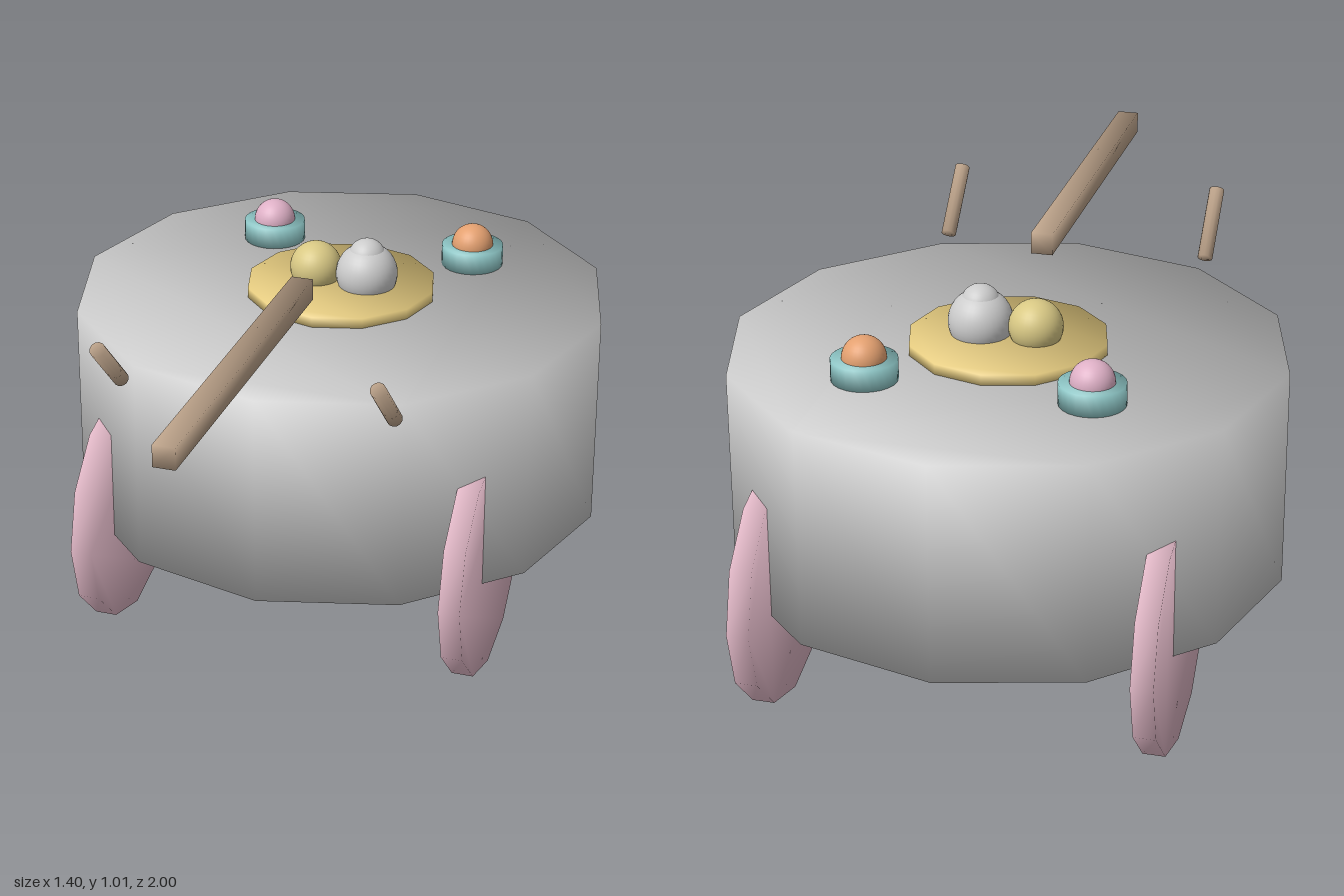
import * as THREE from 'three';

const PINK = 0xe6bccb, TEAL = 0x8cc4c4, WOOD = 0xbfa58c, YELLOW = 0xe6cc80, GREY = 0xcccccc;

// Regular prism along z, centred, with normals softly shared between caps and sides.
function prism(radius, length, sides, turn = 0) {
  const corners = Array.from({ length: sides }, (_, i) => {
    const a = turn + (i / sides) * Math.PI * 2;
    return new THREE.Vector2(Math.cos(a) * radius, Math.sin(a) * radius);
  });
  const geo = new THREE.ExtrudeGeometry(new THREE.Shape(corners), { depth: length, bevelEnabled: false });
  geo.translate(0, 0, -length / 2);
  const rise = (1 - 2 / sides) / Math.cos(Math.PI / sides);
  const p = geo.attributes.position, n = geo.attributes.normal, v = new THREE.Vector3();
  for (let i = 0; i < p.count; i++) {
    v.set(p.getX(i) / radius, p.getY(i) / radius, Math.sign(p.getZ(i)) * rise).normalize();
    n.setXYZ(i, v.x, v.y, v.z);
  }
  return geo;
}

// Upright prism
const disc = (radius, height, sides) => prism(radius, height, sides).rotateX(-Math.PI / 2);
const ball = (radius) => new THREE.SphereGeometry(radius, 32, 20);

export function createModel() {
  const model = new THREE.Group();
  const add = (name, geo, color, x, y, z) => {
    const mesh = new THREE.Mesh(geo, new THREE.MeshStandardMaterial({ color }));
    mesh.name = name;
    mesh.position.set(x, y, z);
    model.add(mesh);
    return mesh;
  };

  // Cart body
  add('body', disc(0.7, 0.56, 12), GREY, 0, 0.56, -0.3);

  // Four wheels half sunk into the body
  for (const x of [-0.491, 0.491]) {
    for (const z of [0.05, -0.65]) {
      add('wheel', prism(0.305, 0.056, 12).rotateY(Math.PI / 2), PINK, x, 0.306, z);
    }
  }

  // Plate with its food
  add('plate', disc(0.25, 0.028, 12), YELLOW, 0, 0.853, -0.3);
  add('yellowBun', ball(0.068), 0xd8c884, -0.07, 0.898, -0.3);
  add('whiteBun', ball(0.081), GREY, 0.07, 0.898, -0.3);
  add('whiteBunTop', ball(0.05), GREY, 0.07, 0.943, -0.3);

  // Cups, each holding a scoop
  for (const [x, color] of [[-0.28, 0xdeb0c6], [0.28, 0xe3a070]]) {
    add('cup', disc(0.082, 0.055, 24), TEAL, x, 0.867, -0.58);
    add('scoop', ball(0.055), color, x, 0.895, -0.58);
  }

  // Draw bar and the two slanted handles
  add('drawBar', prism(0.028 * Math.SQRT2, 0.975, 4, Math.PI / 4), WOOD, 0, 0.981, 0.512);
  for (const x of [-0.352, 0.352]) {
    const handle = add('handle', prism(0.02, 0.2, 12), WOOD, x, 0.91, 0.453);
    handle.rotation.x = -Math.PI / 4;
  }
  return model;
}
